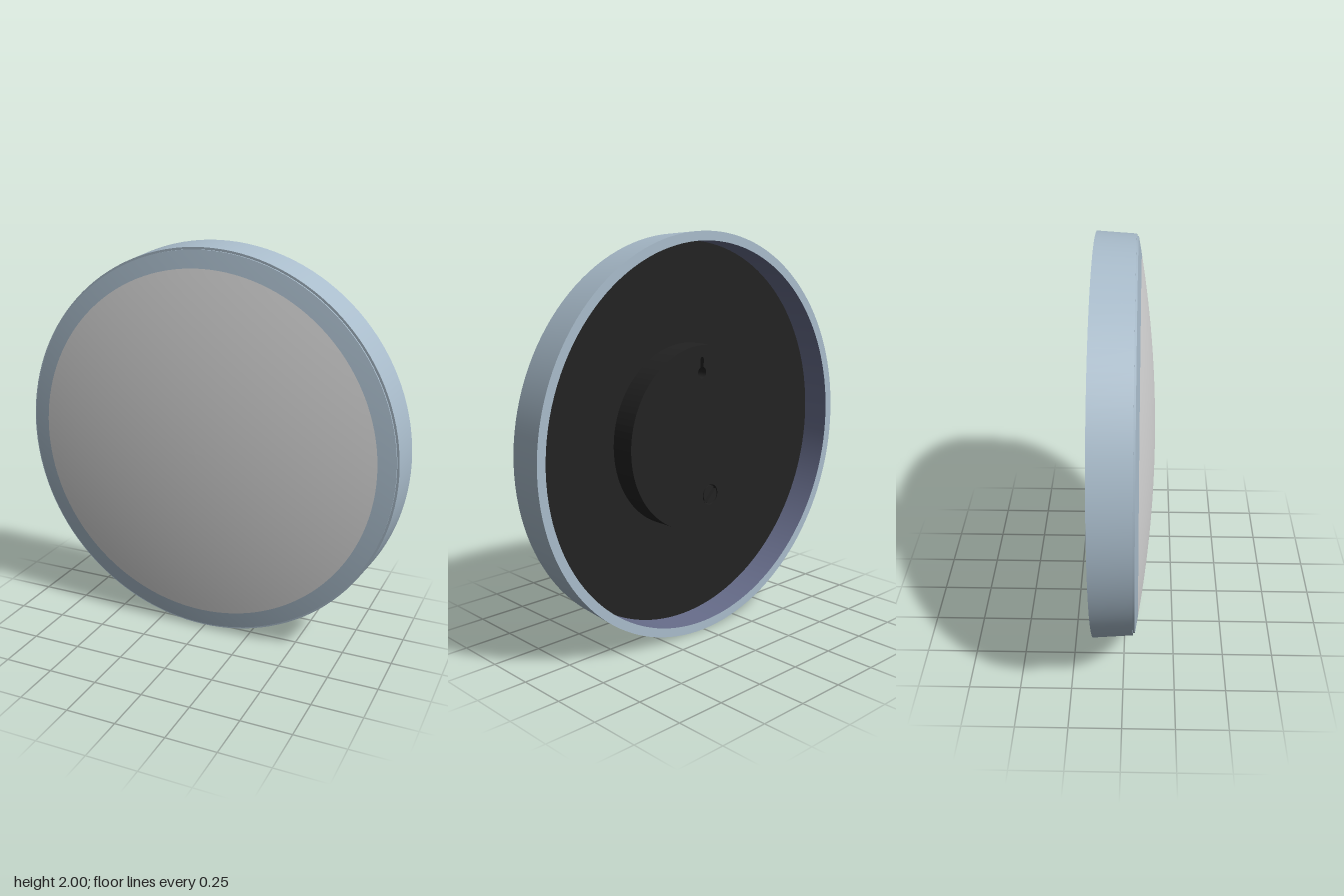
import * as THREE from 'three';

const material = (name, hex, side = THREE.FrontSide) => {
  const m = new THREE.MeshStandardMaterial({ color: hex, side });
  m.name = name;
  return m;
};

export function createModel() {
  const casing = material('blueGreyCasing', 0xa9bccb);
  const lens = material('paleGreyLens', 0xd9d9d9);
  const inside = material('slateInside', 0x686e8c);
  const black = material('blackBack', 0x222222);

  const model = new THREE.Group();
  model.name = 'roundWallLamp';
  model.position.y = 1;

  const add = (name, geometry, mat) => {
    const mesh = new THREE.Mesh(geometry, mat);
    mesh.name = name;
    model.add(mesh);
    return mesh;
  };

  // Surface of revolution about z; profile points are [radius, z]
  const revolve = (name, profile, mat) => {
    const points = profile.map(([r, z]) => new THREE.Vector2(r, z));
    return add(name, new THREE.LatheGeometry(points, 128).rotateX(Math.PI / 2), mat);
  };

  // Shallow dome, sampled from outer to inner radius
  const domeProfile = (from, to, steps) => Array.from({ length: steps + 1 }, (_, i) => {
    const r = from + (to - from) * i / steps;
    return [r, 0.145 - 0.0935 * r * r];
  });

  // Casing: separate runs keep the edges sharp
  revolve('innerWall', [[0.955, 0], [0.955, -0.145]], inside);
  revolve('backRim', [[0.955, -0.145], [1, -0.145]], casing);
  revolve('outerWall', [[1, -0.145], [0.987, 0.047]], casing);
  revolve('frontLedge', [[0.987, 0.047], [0.976, 0.047]], casing);
  revolve('ledgeStep', [[0.976, 0.047], [0.976, 0.056]], casing);
  revolve('frontBorder', domeProfile(0.976, 0.89, 4), casing);
  revolve('domedLens', domeProfile(0.89, 0, 24), lens);
  revolve('backPanel', [[0, 0], [0.955, 0]], black);

  // Mounting hub with a hanging keyhole and a screw recess
  const hubBack = -0.125;
  const hubShape = new THREE.Shape().absarc(0, 0, 0.46, 0, Math.PI * 2);
  const keyhole = new THREE.Path();
  keyhole.absarc(0, 0.325, 0.028, Math.PI * 0.62, Math.PI * 2.38, false);
  keyhole.absarc(0, 0.39, 0.011, 0, Math.PI, false);
  keyhole.closePath();
  const screwX = -0.06, screwY = -0.3;
  const recess = new THREE.Path().absarc(screwX, screwY, 0.052, 0, Math.PI * 2);
  hubShape.holes.push(keyhole, recess);
  const hub = add('mountingHub', new THREE.ExtrudeGeometry(hubShape, {
    depth: -hubBack + 0.002, bevelEnabled: false, curveSegments: 48,
  }), black);
  hub.position.z = hubBack;

  // Slotted screw: two half discs either side of the slot
  const screw = new THREE.Group();
  screw.name = 'slottedScrew';
  screw.position.set(screwX, screwY, hubBack);
  screw.rotation.z = -Math.PI / 4;
  const gap = 0.2;
  for (const turn of [0, Math.PI]) {
    const half = new THREE.Shape().absarc(0, 0, 0.046, gap, Math.PI - gap);
    half.closePath();
    const mesh = new THREE.Mesh(new THREE.ExtrudeGeometry(half, {
      depth: 0.05, bevelEnabled: false, curveSegments: 20,
    }), black);
    mesh.name = 'screwHalf';
    mesh.rotation.z = turn;
    screw.add(mesh);
  }
  model.add(screw);

  const root = new THREE.Group();
  root.name = 'wallLamp';
  root.add(model);
  return root;
}
